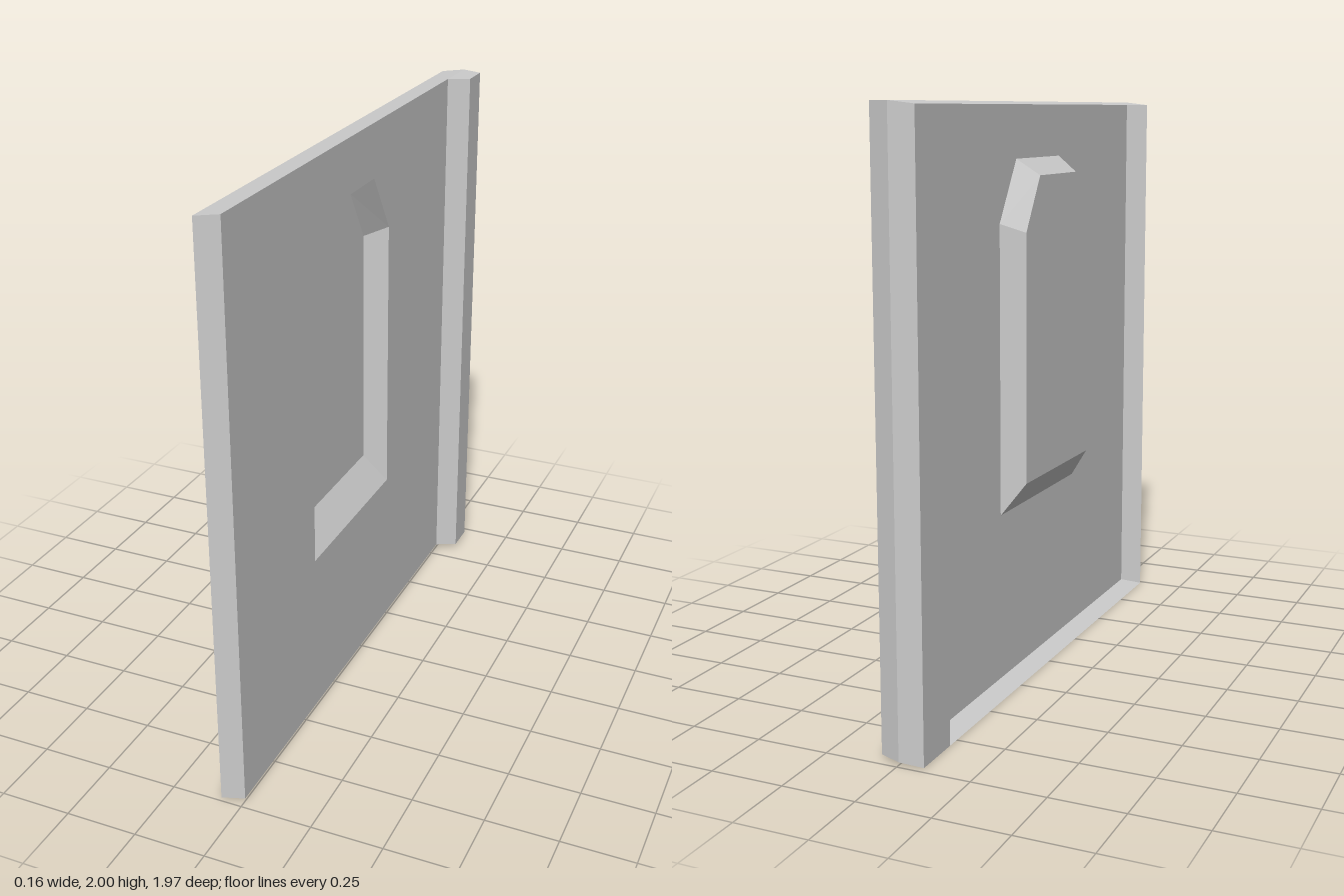
import * as THREE from 'three';

const material = new THREE.MeshStandardMaterial({
  color: 0xcccccc, flatShading: true, side: THREE.DoubleSide,
});

const BACK = -0.08;

// Outline of [z, y] pairs placed at depth x
const ring = (x, outline) => outline.map(([z, y]) => [x, y, z]);

// Rectangle, counter-clockwise seen from +x, starting at the upper -z corner
const rect = (z0, z1, y0, y1) => [[z0, y1], [z1, y1], [z1, y0], [z0, y0]];

// Flat quads between successive rings, optionally closed around and capped
function loft(rings, closed, caps = false) {
  const pos = [];
  const quad = (a, b, c, d) => pos.push(...a, ...b, ...c, ...a, ...c, ...d);
  for (let r = 0; r < rings.length - 1; r++) {
    const p = rings[r], q = rings[r + 1], n = p.length;
    for (let i = 0; i < (closed ? n : n - 1); i++) {
      const j = (i + 1) % n;
      quad(p[i], p[j], q[j], q[i]);
    }
  }
  if (caps) {
    quad(...rings[rings.length - 1]);
    quad(...[...rings[0]].reverse());
  }
  const geometry = new THREE.BufferGeometry();
  geometry.setAttribute('position', new THREE.Float32BufferAttribute(pos, 3));
  geometry.computeVertexNormals();
  return geometry;
}

// Flat sheet facing +x at depth x, with an optional hole
function sheet(x, outline, hole) {
  const points = (o) => o.map(([z, y]) => new THREE.Vector2(-z, y));
  const shape = new THREE.Shape(points(outline));
  if (hole) shape.holes.push(new THREE.Path(points(hole)));
  return new THREE.ShapeGeometry(shape).rotateY(Math.PI / 2).translate(x, 0, 0);
}

export function createModel() {
  const group = new THREE.Group();
  const add = (name, geometry) => {
    const mesh = new THREE.Mesh(geometry, material);
    mesh.name = name;
    group.add(mesh);
  };

  // Recess outlines: wide at the panel face, narrower at the floor
  const opening = [[0.405, 0.6], [-0.24, 0.6], [-0.24, 1.6], [-0.105, 1.81], [0.265, 1.81], [0.405, 1.6]];
  const floor = [[0.36, 0.71], [-0.195, 0.71], [-0.195, 1.57], [-0.08, 1.755], [0.24, 1.755], [0.36, 1.57]];

  // Panel face and its sloped rim, open at the back
  const face = rect(-0.81, 0.97, 0.01, 2);
  add('panelFace', sheet(0, face, opening));
  add('panelRim', loft([ring(BACK, rect(-0.797, 0.985, 0, 1.99)), ring(0, face)], false));

  // Bevelled recess with chamfered upper corners
  add('recessBevel', loft([ring(0, opening), ring(-0.077, floor)], true));
  add('recessFloor', sheet(-0.077, floor));

  // Bevelled post along one upright edge
  add('edgePost', loft([
    ring(BACK, rect(-0.973, -0.797, 0, 1.99)),
    ring(0, rect(-0.987, -0.81, 0.01, 2)),
    ring(0.075, rect(-0.957, -0.845, 0.01, 2)),
  ], true, true));

  return group;
}
